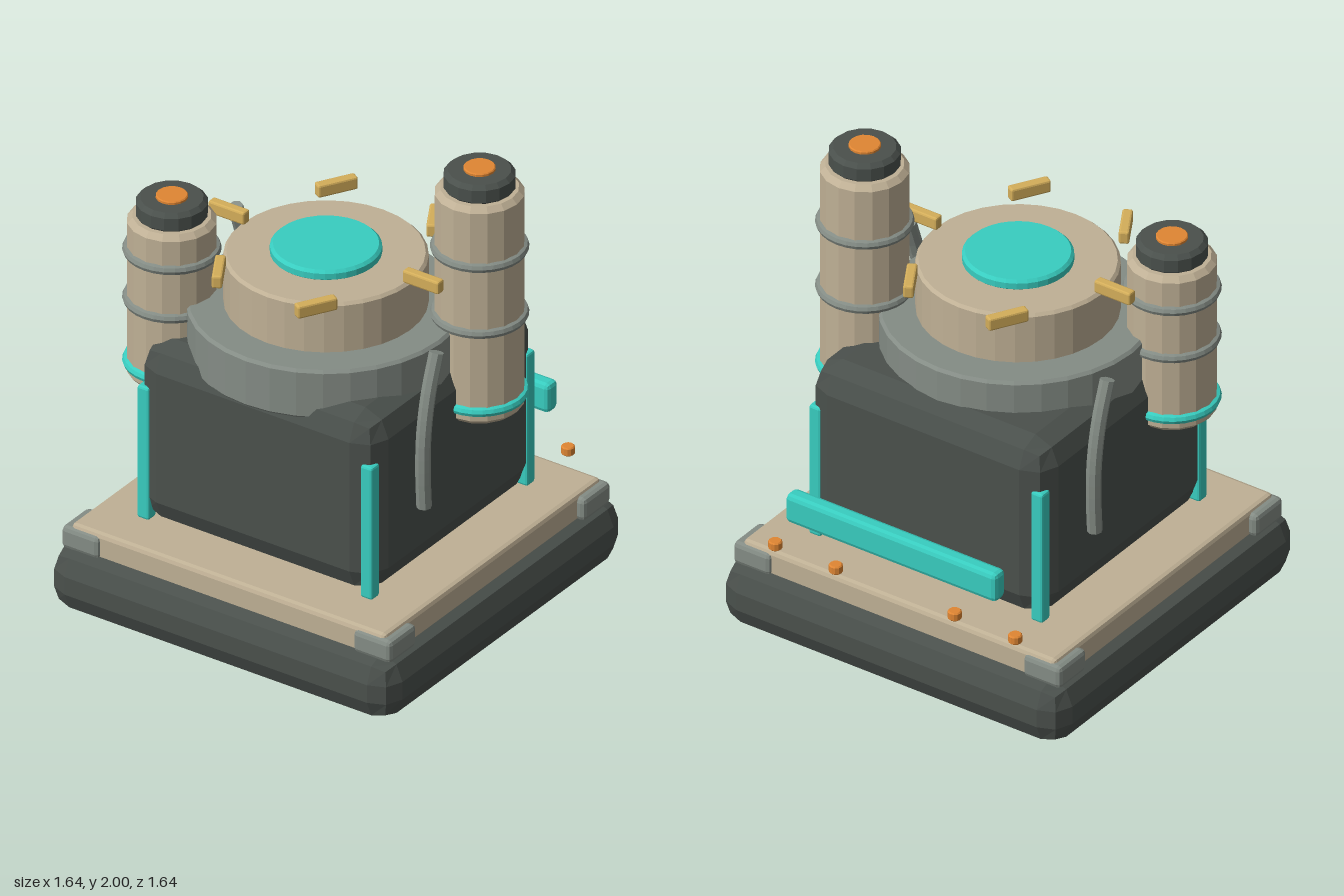
import * as THREE from 'three';
import { RoundedBoxGeometry } from 'three/addons/geometries/RoundedBoxGeometry.js';

const paint = (color) => new THREE.MeshStandardMaterial({ color, flatShading: true });

export function createModel() {
  const model = new THREE.Group();
  const dark = paint(0x4a504c), tan = paint(0xbfb095), grey = paint(0x848c85);
  const cyan = paint(0x38cdc0), orange = paint(0xe08633), gold = paint(0xd4ae5a);

  const add = (name, geometry, material, x = 0, y = 0, z = 0, parent = model) => {
    const mesh = new THREE.Mesh(geometry, material);
    mesh.name = name;
    mesh.position.set(x, y, z);
    parent.add(mesh);
    return mesh;
  };
  // Box with softened edges
  const box = (w, h, d, r) => new RoundedBoxGeometry(w, h, d, 1, r);
  // Closed drum with chamfered rims, standing from y0 to y1
  const drum = (r, y0, y1, c, sides) => new THREE.LatheGeometry([
    [0, y0], [r - c, y0], [r, y0 + c], [r, y1 - c], [r - c, y1], [0, y1],
  ].map(([x, y]) => new THREE.Vector2(x, y)), sides);

  // Plinth, deck and corner brackets
  add('plinth', box(1.64, 0.28, 1.64, 0.1), dark, 0, 0.14, 0);
  add('deck', box(1.5, 0.125, 1.48, 0.02), tan, 0, 0.3125, 0);
  for (const sx of [-1, 1]) for (const sz of [-1, 1]) {
    add('cornerBracket', box(0.18, 0.1, 0.185, 0.02), grey, sx * 0.695, 0.31, sz * 0.6625);
    add('cornerLight', box(0.056, 0.6, 0.056, 0.01), cyan, sx * 0.532, 0.68, sz * 0.53);
  }

  // Main housing with the stepped turret
  add('housing', box(1.14, 0.805, 1.14, 0.11), dark, 0, 0.7775, -0.002);
  const turret = new THREE.Group();
  turret.name = 'turret';
  turret.position.z = 0.068;
  model.add(turret);
  add('turretCollar', drum(0.548, 1.1, 1.32, 0.012, 32), grey, 0, 0, 0, turret);
  add('turretDrum', drum(0.402, 1.3, 1.54, 0.012, 32), tan, 0, 0, 0, turret);
  add('turretLens', drum(0.22, 1.53, 1.58, 0.012, 32), cyan, 0, 0, 0, turret);
  for (let i = 0; i < 6; i++) {
    const a = i * Math.PI / 3;
    const clip = add('clip', box(0.172, 0.056, 0.042, 0.008), gold,
      Math.cos(a) * 0.463, 1.565, Math.sin(a) * 0.463, turret);
    clip.rotation.y = a;
  }

  // Side canisters with bands, cap and button
  const canister = (name, x, z, top, bands) => {
    const g = new THREE.Group();
    g.name = name;
    g.position.set(x, 0, z);
    model.add(g);
    add('canisterBody', drum(0.178, 0.92, top, 0.022, 16), tan, 0, 0, 0, g);
    add('canisterCap', drum(0.143, top - 0.01, top + 0.08, 0.018, 16), dark, 0, 0, 0, g);
    add('canisterButton', drum(0.064, top + 0.07, top + 0.093, 0.004, 16), orange, 0, 0, 0, g);
    const band = new THREE.TorusGeometry(0.174, 0.021, 8, 28).rotateX(Math.PI / 2);
    for (const y of bands) add('band', band, grey, 0, y, 0, g);
    add('lightBand', band, cyan, 0, 0.985, 0, g);
  };
  canister('tallCanister', 0.56, -0.178, 1.907, [1.64, 1.34]);
  canister('shortCanister', -0.56, 0.318, 1.64, [1.49, 1.27]);

  // Bent pipes, one on each side, turned half a revolution apart
  const path = new THREE.CatmullRomCurve3([
    [0.64, 0.72, 0.315], [0.64, 0.88, 0.323], [0.64, 1.05, 0.317], [0.64, 1.22, 0.285], [0.64, 1.38, 0.23],
  ].map((p) => new THREE.Vector3(...p)));
  for (const turn of [0, Math.PI]) {
    const pipe = new THREE.Group();
    pipe.name = 'pipe';
    pipe.rotation.y = turn;
    model.add(pipe);
    add('pipeTube', new THREE.TubeGeometry(path, 12, 0.031, 8), grey, 0, 0, 0, pipe);
    for (const t of [0, 1]) {
      const end = add('pipeEnd', new THREE.CircleGeometry(0.031, 8), grey, 0, 0, 0, pipe);
      const p = path.getPoint(t);
      end.position.copy(p);
      end.lookAt(p.clone().addScaledVector(path.getTangent(t), t ? 1 : -1).applyAxisAngle(new THREE.Vector3(0, 1, 0), turn));
    }
  }

  // Rear light bar and studs
  add('rearLightBar', box(1.01, 0.13, 0.072, 0.02), cyan, 0, 0.645, -0.76);
  for (const x of [-0.575, -0.285, 0.285, 0.575])
    add('rearStud', drum(0.028, 0.412, 0.45, 0.005, 12), orange, x, 0, -0.76);

  return model;
}
